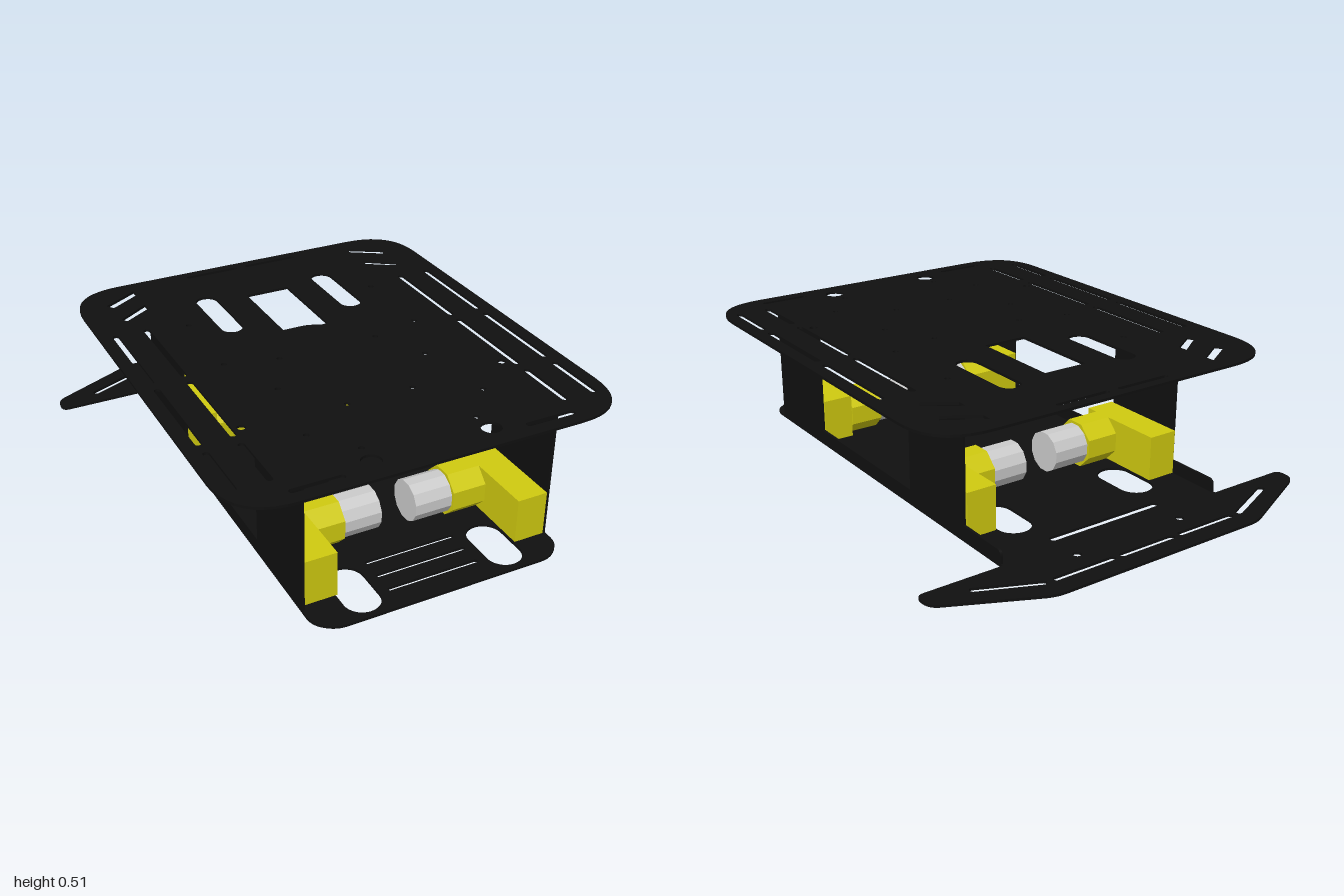
import * as THREE from 'three';

const black = new THREE.MeshStandardMaterial({ color: 0x101010 });
const yellow = new THREE.MeshStandardMaterial({ color: 0xd0ca10, flatShading: true });
const grey = new THREE.MeshStandardMaterial({ color: 0xcccccc, flatShading: true });
const T = 0.01; // sheet thickness

// Hole and outline helpers, drawn in plan (x, z)
function slot(x1, z1, x2, z2, w) {
  const a = Math.atan2(z2 - z1, x2 - x1), h = Math.PI / 2;
  const p = new THREE.Path();
  p.absarc(x2, z2, w / 2, a - h, a + h);
  p.absarc(x1, z1, w / 2, a + h, a + 3 * h);
  p.closePath();
  return p;
}
function hole(x, z, r) {
  return new THREE.Path().absarc(x, z, r, 0, Math.PI * 2);
}
function poly(points) {
  return new THREE.Path(points.map(([x, z]) => new THREE.Vector2(x, z)));
}
// Closed outline with each corner [x, y, radius] rounded
function roundedShape(corners) {
  const shape = new THREE.Shape();
  const n = corners.length;
  corners.forEach(([x, y, r], i) => {
    const c = new THREE.Vector2(x, y);
    const toward = (j) => new THREE.Vector2(corners[j][0], corners[j][1]).sub(c).setLength(r).add(c);
    const a = toward((i + n - 1) % n), b = toward((i + 1) % n);
    if (i === 0) shape.moveTo(a.x, a.y); else shape.lineTo(a.x, a.y);
    if (r > 0) shape.quadraticCurveTo(x, y, b.x, b.y);
  });
  shape.closePath();
  return shape;
}
function mirrored(half) {
  return [...half, ...half.map(([x, z, r]) => [-x, z, r]).reverse()];
}
// Horizontal sheet whose upper face lies at height top
function plate(name, shape, holes, top) {
  shape.holes.push(...holes);
  const g = new THREE.ExtrudeGeometry(shape, { depth: T, bevelEnabled: false, curveSegments: 10 });
  g.rotateX(Math.PI / 2);
  const m = new THREE.Mesh(g, black);
  m.name = name;
  m.position.y = top;
  return m;
}
function box(name, w, h, d, x, y, z, material) {
  const m = new THREE.Mesh(new THREE.BoxGeometry(w, h, d), material);
  m.name = name;
  m.position.set(x, y, z);
  return m;
}

function topPlate() {
  const holes = [
    poly([[-0.09, -0.45], [0.09, -0.45], [0.09, -0.08], [-0.09, -0.08]]),
  ];
  for (const s of [-1, 1]) {
    // long slots down the sides
    for (const x of [0.56, 0.683])
      for (const [a, b] of [[-0.33, 0.06], [0.125, 0.51], [0.58, 0.8]])
        holes.push(slot(s * x, a, s * x, b, 0.024));
    // angled vents at the back corners
    holes.push(
      poly([[s * 0.49, -0.69], [s * 0.63, -0.605], [s * 0.61, -0.575], [s * 0.49, -0.65]]),
      poly([[s * 0.49, -0.55], [s * 0.615, -0.465], [s * 0.6, -0.44], [s * 0.49, -0.51]]),
      slot(s * 0.257, -0.467, s * 0.257, -0.213, 0.086),
      slot(s * 0.03, -0.715, s * 0.235, -0.715, 0.02),
      slot(s * 0.352, 0.89, s * 0.525, 0.89, 0.024),
      hole(s * 0.227, 0.85, 0.037)
    );
    // screw holes
    for (const [x, z] of [[0.22, 0.77], [0.517, 0.48], [0.345, 0.62], [0.3, 0.3],
      [0.4, 0.05], [0.2, 0.1], [0.4, -0.3], [0.13, 0.5]])
      holes.push(hole(s * x, z, x > 0.5 ? 0.016 : 0.011));
  }
  const outline = roundedShape([
    [-0.745, -0.76, 0.22], [0.745, -0.76, 0.22], [0.745, 0.95, 0.22], [-0.745, 0.95, 0.22],
  ]);
  return plate('topPlate', outline, holes, 0.512);
}

// Floor sheet with the swept bumper at its back
function bottomPlate() {
  const holes = [
    slot(-0.23, -0.695, 0.23, -0.695, 0.03),
    slot(-0.11, -0.918, 0.11, -0.918, 0.024),
  ];
  for (const z of [0.74, 0.82, 0.9]) holes.push(slot(-0.17, z, 0.17, z, 0.016));
  for (const s of [-1, 1]) {
    holes.push(
      slot(s * 0.282, 0.79, s * 0.282, 0.905, 0.135),
      slot(s * 0.282, -0.53, s * 0.282, -0.418, 0.135),
      slot(s * 0.155, -0.918, s * 0.39, -0.918, 0.024),
      slot(s * 0.44, -0.915, s * 0.65, -0.823, 0.026),
      hole(s * 0.233, -0.828, 0.016)
    );
  }
  const outline = roundedShape(mirrored([
    [0.45, -1, 0.04], [0.82, -0.825, 0.04], [0.82, -0.75, 0.03],
    [0.485, -0.75, 0], [0.485, 0.94, 0.04], [0.42, 0.995, 0.04],
  ]));
  return plate('bottomPlate', outline, holes, T);
}

// Low side rail with two tall uprights, each folded in at the top
function sideWall(s) {
  const wall = new THREE.Group();
  wall.name = s > 0 ? 'leftWall' : 'rightWall';
  const profile = roundedShape([
    [-0.87, 0, 0], [0.74, 0, 0], [0.74, 0.06, 0.025], [0.52, 0.06, 0], [0.52, 0.502, 0],
    [0.17, 0.502, 0], [0.17, 0.06, 0], [-0.51, 0.06, 0], [-0.51, 0.502, 0], [-0.87, 0.502, 0],
  ]);
  const g = new THREE.ExtrudeGeometry(profile, { depth: T, bevelEnabled: false });
  g.rotateY(Math.PI / 2);
  const sheet = new THREE.Mesh(g, black);
  sheet.name = 'wallSheet';
  sheet.position.x = s * 0.48 - T / 2;
  wall.add(sheet);
  for (const z of [0.69, -0.345])
    wall.add(box('topFlange', 0.095, T, z > 0 ? 0.36 : 0.35, s * 0.4375, 0.497, z, black));
  return wall;
}

// Gearbox against the wall with a motor pointing inwards
function motor(name, s, boxZ, motorZ, lift) {
  const g = new THREE.Group();
  g.name = name;
  g.position.y = lift;
  g.add(box('gearbox', 0.12, 0.175, 0.37, s * 0.415, 0.0975, boxZ, yellow));
  const neckGeo = new THREE.CylinderGeometry(0.0947, 0.0947, 0.135, 8);
  neckGeo.rotateY(Math.PI / 8).rotateZ(Math.PI / 2);
  const neck = new THREE.Mesh(neckGeo, yellow);
  neck.name = 'gearboxNeck';
  neck.position.set(s * 0.2875, 0.0975, motorZ);
  const canGeo = new THREE.CylinderGeometry(0.08, 0.08, 0.15, 12, 2);
  canGeo.rotateY(Math.PI / 12).rotateZ(Math.PI / 2);
  const can = new THREE.Mesh(canGeo, grey);
  can.name = 'motorCan';
  can.position.set(s * 0.145, 0.0975, motorZ);
  g.add(neck, can);
  return g;
}

export function createModel() {
  const model = new THREE.Group();
  model.name = 'robotChassis';
  model.add(topPlate(), bottomPlate());
  for (const s of [-1, 1]) {
    const side = s > 0 ? 'Left' : 'Right';
    model.add(sideWall(s));
    model.add(motor('front' + side + 'Motor', s, 0.685, 0.58, s < 0 ? 0.02 : 0));
    model.add(motor('back' + side + 'Motor', s, -0.345, -0.243, 0));
  }
  return model;
}
